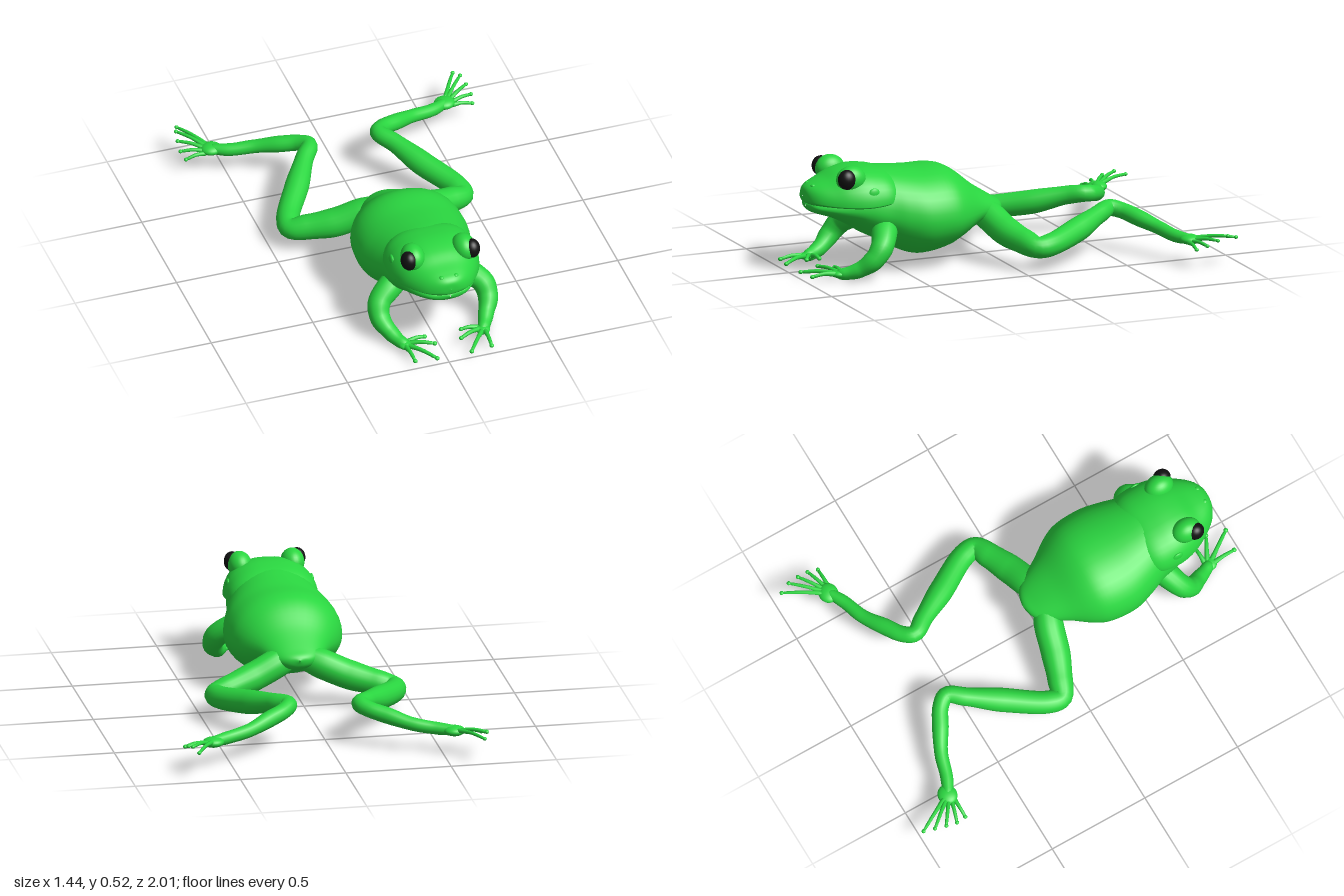
import * as THREE from 'three';
import { mergeVertices } from 'three/addons/utils/BufferGeometryUtils.js';

const skin = new THREE.MeshStandardMaterial({ color: 0x2ad640 });
const black = new THREE.MeshStandardMaterial({ color: 0x111111 });
const MID = 0.03; // x of the body's plane of symmetry

function addMesh(parent, name, geometry, material = skin) {
  const mesh = new THREE.Mesh(geometry, material);
  mesh.name = name;
  parent.add(mesh);
  return mesh;
}

// Smooth loft along z; each row is [z, bottom y, top y, half width, y of widest point]
function loft(rows, power = 1, steps = 48, sides = 40) {
  const a = new THREE.CatmullRomCurve3(rows.map(r => new THREE.Vector3(r[0], r[1], r[2])), false, 'catmullrom');
  const b = new THREE.CatmullRomCurve3(rows.map(r => new THREE.Vector3(r[3], r[4], 0)), false, 'catmullrom');
  const pos = [], index = [];
  for (let i = 0; i <= steps; i++) {
    const p = a.getPoint(i / steps), q = b.getPoint(i / steps);
    for (let j = 0; j < sides; j++) {
      const t = (j / sides) * Math.PI * 2, c = Math.cos(t), s = Math.sin(t);
      const y = s > 0 ? q.y + (p.z - q.y) * s : q.y + (q.y - p.y) * s;
      pos.push(MID + q.x * Math.sign(c) * Math.abs(c) ** power, y, p.x);
      if (i < steps) {
        const k = i * sides + j, k2 = i * sides + (j + 1) % sides;
        index.push(k, k2, k2 + sides, k, k2 + sides, k + sides);
      }
    }
  }
  const g = new THREE.BufferGeometry();
  g.setAttribute('position', new THREE.Float32BufferAttribute(pos, 3));
  g.setIndex(index);
  g.computeVertexNormals();
  return g;
}

// Tapering limb with a rounded end; each point is [x, y, z, radius]
function limb(points, steps = 40, sides = 16) {
  const curve = new THREE.CatmullRomCurve3(points.map(p => new THREE.Vector3(p[0], p[1], p[2])));
  const g = new THREE.TubeGeometry(curve, steps, 1, sides);
  const pos = g.attributes.position, v = new THREE.Vector3(), last = points.length - 1;
  const cap = Math.max(points[last][3] / curve.getLength(), 1.5 / steps);
  for (let i = 0; i <= steps; i++) {
    const u = i / steps, centre = curve.getPointAt(u);
    const t = curve.getUtoTmapping(u) * last, k = Math.min(Math.floor(t), last - 1);
    let r = THREE.MathUtils.lerp(points[k][3], points[k + 1][3], THREE.MathUtils.smoothstep(t - k, 0, 1));
    const e = Math.max(0, (u - 1 + cap) / cap);
    r *= Math.sqrt(Math.max(0.0004, 1 - e * e));
    for (let j = 0; j <= sides; j++) {
      const n = i * (sides + 1) + j;
      v.fromBufferAttribute(pos, n).sub(centre).multiplyScalar(r).add(centre);
      pos.setXYZ(n, v.x, v.y, v.z);
    }
  }
  g.deleteAttribute('uv');
  g.deleteAttribute('normal');
  const merged = mergeVertices(g, 1e-6);
  merged.computeVertexNormals();
  return merged;
}

function ellipsoid(parent, name, x, y, z, rx, ry, rz, material = skin) {
  const m = addMesh(parent, name, new THREE.SphereGeometry(1, 28, 20), material);
  m.position.set(x, y, z);
  m.scale.set(rx, ry, rz);
  return m;
}

// Thin digit, slightly arched, with a round pad at the tip
function digit(parent, name, from, tip, r) {
  const mid = from.map((c, i) => (c + tip[i]) / 2 + (i === 1 ? 0.008 : 0));
  addMesh(parent, name, limb([[...from, r * 1.35], [...mid, r], [...tip, r * 0.85]], 14, 8));
  ellipsoid(parent, name + 'Pad', ...tip, r * 1.15, r, r * 1.15);
}

function createArm(side, map) {
  const arm = new THREE.Group();
  arm.name = side + 'Arm';
  addMesh(arm, 'armAndWrist', limb([
    [-0.06, 0.25, 0.56, 0.06], [-0.16, 0.205, 0.61, 0.06], [-0.225, 0.155, 0.65, 0.054],
    [-0.235, 0.1, 0.695, 0.048], [-0.205, 0.052, 0.755, 0.038], [-0.175, 0.032, 0.815, 0.03],
    [-0.15, 0.03, 0.855, 0.022],
  ].map(map)));
  ellipsoid(arm, 'palm', ...map([-0.16, 0.03, 0.84]), 0.034, 0.018, 0.036);
  const tips = [[-0.158, 0.028, 0.975], [-0.055, 0.03, 0.99], [-0.035, 0.045, 0.895], [-0.06, 0.038, 0.82]];
  tips.forEach((t, i) => digit(arm, 'finger' + (i + 1),
    map([-0.165 + i * 0.008, 0.032, 0.86 - i * 0.012]), map(t), 0.0095));
  return arm;
}

function createHindLeg(side, map) {
  const leg = new THREE.Group();
  leg.name = side + 'HindLeg';
  addMesh(leg, 'thighShinAndAnkle', limb([
    [0.0, 0.235, 0.05, 0.06], [-0.1, 0.195, 0.01, 0.07], [-0.21, 0.15, -0.02, 0.069],
    [-0.33, 0.12, -0.065, 0.06], [-0.405, 0.105, -0.1, 0.05], [-0.395, 0.11, -0.17, 0.054],
    [-0.29, 0.14, -0.35, 0.057], [-0.2, 0.18, -0.5, 0.044], [-0.152, 0.192, -0.575, 0.04],
    [-0.185, 0.18, -0.625, 0.038], [-0.26, 0.16, -0.67, 0.039], [-0.37, 0.13, -0.73, 0.032],
    [-0.48, 0.113, -0.765, 0.03], [-0.57, 0.11, -0.81, 0.024],
  ].map(map), 110, 18));
  ellipsoid(leg, 'sole', ...map([-0.555, 0.11, -0.805]), 0.05, 0.024, 0.046);
  const tips = [[-0.66, 0.125, -0.995], [-0.68, 0.14, -0.945], [-0.69, 0.125, -0.89],
    [-0.695, 0.105, -0.835], [-0.685, 0.09, -0.785]];
  tips.forEach((t, i) => digit(leg, 'toe' + (i + 1),
    map([-0.57 - i * 0.004, 0.118 - i * 0.004, -0.835 + i * 0.012]), map(t), 0.0085));
  return leg;
}

export function createModel() {
  const frog = new THREE.Group();
  frog.name = 'frog';

  // Trunk running forward into throat and lower jaw
  addMesh(frog, 'trunkAndJaw', loft([
    [-0.055, 0.236, 0.246, 0.005, 0.241], [-0.04, 0.205, 0.265, 0.06, 0.237], [0, 0.185, 0.29, 0.11, 0.24],
    [0.1, 0.165, 0.355, 0.17, 0.25], [0.2, 0.108, 0.435, 0.238, 0.25], [0.28, 0.072, 0.466, 0.268, 0.25],
    [0.4, 0.055, 0.468, 0.273, 0.25], [0.5, 0.09, 0.477, 0.248, 0.265], [0.58, 0.135, 0.485, 0.22, 0.285],
    [0.66, 0.175, 0.485, 0.208, 0.305], [0.74, 0.225, 0.45, 0.188, 0.315], [0.82, 0.265, 0.39, 0.158, 0.318],
    [0.88, 0.285, 0.36, 0.118, 0.322], [0.915, 0.3, 0.345, 0.075, 0.325], [0.93, 0.322, 0.33, 0.003, 0.326],
  ], 0.95, 70));

  // Upper head overhanging the jaw to form the mouth line
  addMesh(frog, 'upperHead', loft([
    [0.48, 0.34, 0.43, 0.14, 0.36], [0.56, 0.325, 0.478, 0.205, 0.35], [0.64, 0.318, 0.496, 0.22, 0.342],
    [0.71, 0.317, 0.498, 0.215, 0.34], [0.78, 0.321, 0.483, 0.193, 0.342], [0.84, 0.326, 0.455, 0.16, 0.345],
    [0.89, 0.331, 0.437, 0.122, 0.35], [0.92, 0.335, 0.424, 0.085, 0.355], [0.937, 0.345, 0.405, 0.045, 0.365],
    [0.942, 0.37, 0.375, 0.002, 0.372],
  ], 0.8, 50));

  for (const [side, s] of [['right', -1], ['left', 1]]) {
    // Eye, its mound, the eardrum and the nostril
    ellipsoid(frog, side + 'EyeMound', MID + s * 0.125, 0.46, 0.752, 0.056, 0.064, 0.072);
    ellipsoid(frog, side + 'Eye', MID + s * 0.154, 0.468, 0.785, 0.039, 0.047, 0.043, black);
    ellipsoid(frog, side + 'Eardrum', MID + s * 0.198, 0.395, 0.665, 0.012, 0.03, 0.03);
    ellipsoid(frog, side + 'Nostril', MID + s * 0.035, 0.424, 0.905, 0.012, 0.008, 0.012);

    frog.add(createArm(side, s < 0 ? p => p : ([x, ...rest]) => [2 * MID - x, ...rest]));
    // The left hind leg is drawn up slightly more than the right
    frog.add(createHindLeg(side, s < 0 ? p => p
      : ([x, y, z, ...r]) => [0.03 - x, y + 0.01, z + 0.025, ...r]));
  }
  return frog;
}
